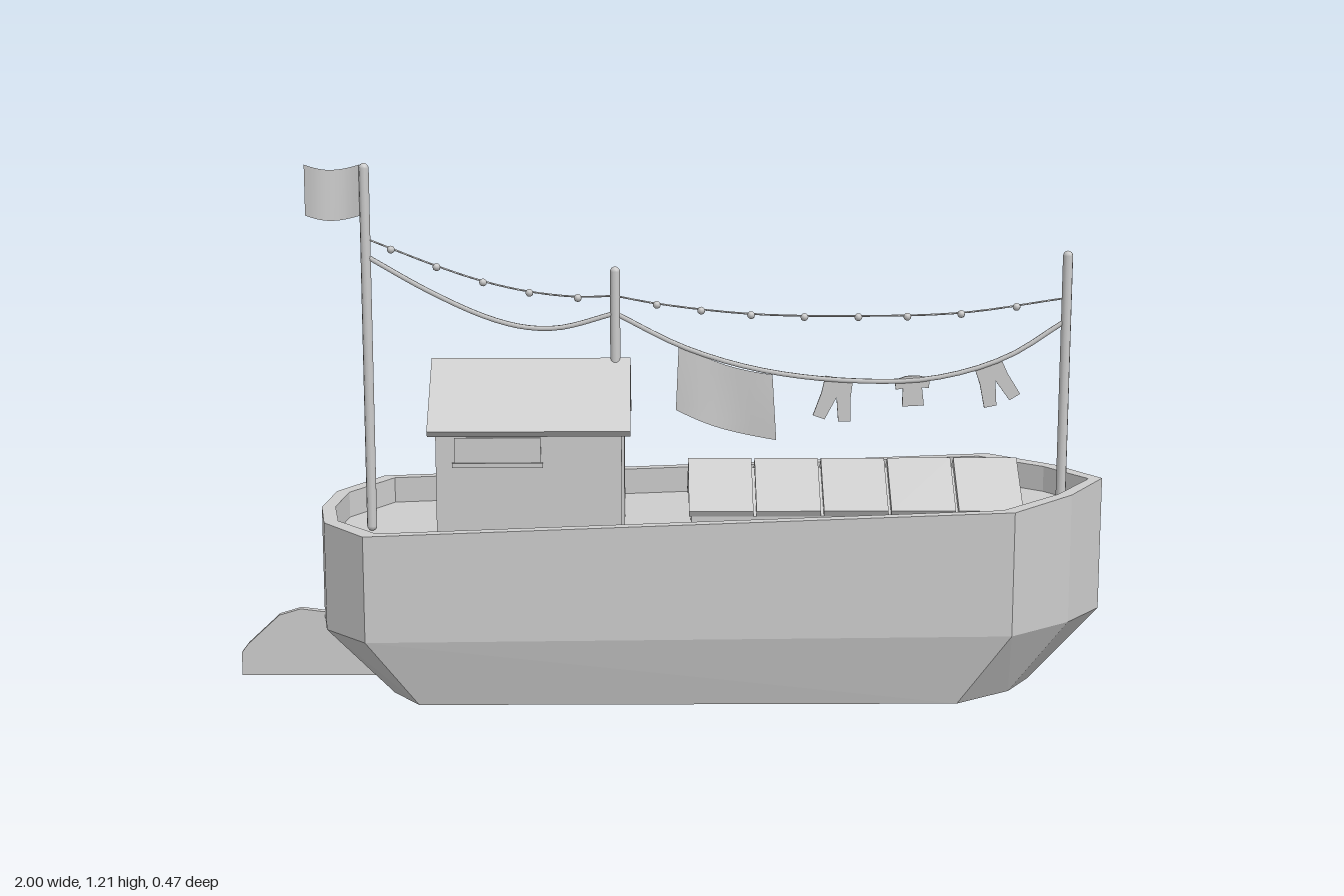
import * as THREE from 'three';

const flat = new THREE.MeshStandardMaterial({ color: 0xcccccc, flatShading: true, side: THREE.DoubleSide });
const smooth = new THREE.MeshStandardMaterial({ color: 0xcccccc, side: THREE.DoubleSide });

function add(parent, name, geometry, material = flat) {
  const mesh = new THREE.Mesh(geometry, material);
  mesh.name = name;
  parent.add(mesh);
  return mesh;
}

const shapeOf = (pts) => new THREE.Shape(pts.map(([x, y]) => new THREE.Vector2(x, y)));

// Prism with a (z, y) section, running along x
function prismX(section, x0, x1) {
  const g = new THREE.ExtrudeGeometry(shapeOf(section.map(([z, y]) => [-z, y])), { depth: x1 - x0, bevelEnabled: false });
  return g.rotateY(Math.PI / 2).translate(x0, 0, 0);
}

// Flat plate with an (x, y) outline, centred on z = 0
function plate(outline, thickness) {
  const g = new THREE.ExtrudeGeometry(shapeOf(outline), { depth: thickness, bevelEnabled: false });
  return g.translate(0, 0, -thickness / 2);
}

// Skin between successive closed rings of points
function loft(rings) {
  const pos = [];
  const tri = (...pts) => {
    if (new THREE.Triangle(...pts).getArea() > 1e-7) pts.forEach((p) => pos.push(p.x, p.y, p.z));
  };
  for (let r = 0; r < rings.length - 1; r++) {
    const a = rings[r], b = rings[r + 1], n = a.length;
    for (let i = 0; i < n; i++) {
      const j = (i + 1) % n;
      tri(a[i], b[i], b[j]);
      tri(a[i], b[j], a[j]);
    }
  }
  const g = new THREE.BufferGeometry();
  g.setAttribute('position', new THREE.Float32BufferAttribute(pos, 3));
  g.computeVertexNormals();
  return g;
}

// Full plan outline mirrored from the half outline, bow to stern
function ring(half, heightAt) {
  const back = half.slice(1, -1).reverse().map(([x, z]) => [x, -z]);
  return [...half, ...back].map(([x, z]) => new THREE.Vector3(x, heightAt(x, z), z));
}

function buildHull(group) {
  const wide = [[1, 0], [0.91, 0.12], [0.765, 0.235], [-0.685, 0.235], [-0.785, 0.12], [-0.805, 0]];
  const keel = [[0.84, 0], [0.78, 0.1], [0.65, 0.195], [-0.57, 0.195], [-0.635, 0.1], [-0.66, 0]];
  const inner = wide.map(([x, z]) => [(x - 0.1) * 0.965 + 0.1, z * 0.91]);
  const line = (pts) => pts.map(([x]) => [x, 0]);
  const rim = (x, z) => 0.445 + 0.036 * x - 0.08 * z;
  const deck = (x, z) => rim(x, z) - 0.06;
  add(group, 'hull', loft([
    ring(line(keel), () => 0),
    ring(keel, () => 0),
    ring(wide, (x) => 0.163 + 0.008 * x),
    ring(wide, rim),
    ring(inner, rim),
    ring(inner, deck),
  ]));
  add(group, 'deck', loft([ring(inner, deck), ring(line(inner), deck)]));
  add(group, 'rudder', plate([[-1, 0.015], [-0.66, 0.015], [-0.66, 0.1], [-0.78, 0.165], [-0.86, 0.175],
    [-0.91, 0.16], [-0.985, 0.09], [-1, 0.07]], 0.018));
}

function buildCabin(group) {
  const cabin = new THREE.Group();
  cabin.name = 'cabin';
  group.add(cabin);
  add(cabin, 'cabinWalls', prismX([[-0.115, 0.36], [0.115, 0.36], [0.115, 0.645], [0, 0.742], [-0.115, 0.645]], -0.53, -0.11));
  add(cabin, 'cabinRoof', prismX([[0.155, 0.612], [0.168, 0.626], [0, 0.765], [-0.168, 0.626], [-0.155, 0.612], [0, 0.742]], -0.545, -0.09));
  add(cabin, 'cabinDoor', prismX([[-0.06, 0.37], [0.06, 0.37], [0.06, 0.605], [0, 0.635], [-0.06, 0.605]], -0.112, -0.104));
  // Window strip with a sill on both long walls
  for (const s of [1, -1]) {
    add(cabin, 'cabinWindow', new THREE.BoxGeometry(0.195, 0.06, 0.006).translate(-0.39, 0.572, s * 0.116));
    add(cabin, 'windowSill', new THREE.BoxGeometry(0.205, 0.01, 0.016).translate(-0.39, 0.54, s * 0.119));
  }
}

function buildHatch(group) {
  const hatch = new THREE.Group();
  hatch.name = 'cargoHatch';
  group.add(hatch);
  add(hatch, 'hatchBase', prismX([[-0.12, 0.36], [0.12, 0.36], [0.12, 0.42], [0, 0.508], [-0.12, 0.42]], 0.048, 0.79));
  const lid = [[0.122, 0.42], [0.13, 0.434], [0, 0.53], [-0.13, 0.434], [-0.122, 0.42], [0, 0.506]];
  for (let i = 0; i < 5; i++) {
    const x = 0.042 + i * 0.153;
    add(hatch, 'hatchCover', prismX(lid, x, x + 0.146));
  }
}

function buildRigging(group) {
  // Masts as [x, top]
  for (const [x, top] of [[-0.69, 1.21], [-0.125, 0.975], [0.905, 1.01]]) {
    const r = 0.0115, bottom = 0.36;
    add(group, 'mast', new THREE.CapsuleGeometry(r, top - bottom - 2 * r, 4, 10).translate(x, (top + bottom) / 2, 0), smooth);
  }

  // Waving flag
  const flag = new THREE.PlaneGeometry(0.125, 0.115, 10, 1);
  const p = flag.attributes.position;
  for (let i = 0; i < p.count; i++) {
    const u = (p.getX(i) + 0.0625) / 0.125;
    p.setY(i, p.getY(i) - 0.012 * Math.sin(Math.PI * u) + 0.006);
    p.setZ(i, 0.006 * Math.sin(2 * Math.PI * u));
  }
  flag.computeVertexNormals();
  add(group, 'flag', flag.translate(-0.762, 1.143, 0), smooth);

  // Clothesline and string of lights, each hung in two spans
  const curve = (pts) => new THREE.CatmullRomCurve3(pts.map(([x, y]) => new THREE.Vector3(x, y, 0)));
  const ropeSpans = [
    [[-0.69, 1.0], [-0.55, 0.92], [-0.42, 0.86], [-0.33, 0.836], [-0.25, 0.835], [-0.125, 0.868]],
    [[-0.125, 0.868], [0.03, 0.79], [0.2, 0.738], [0.4, 0.712], [0.6, 0.716], [0.77, 0.765], [0.905, 0.85]],
  ];
  const lightSpans = [
    [[-0.69, 1.04], [-0.53, 0.977], [-0.425, 0.942], [-0.32, 0.918], [-0.21, 0.906], [-0.125, 0.908]],
    [[-0.125, 0.908], [-0.03, 0.89], [0.185, 0.866], [0.43, 0.861], [0.665, 0.868], [0.905, 0.902]],
  ];
  for (const s of ropeSpans) add(group, 'clothesline', new THREE.TubeGeometry(curve(s), 24, 0.006, 6), smooth);
  const bulbs = [
    [-0.635, -0.53, -0.425, -0.32, -0.21],
    [-0.03, 0.07, 0.185, 0.305, 0.43, 0.54, 0.665, 0.79],
  ];
  lightSpans.forEach((s, k) => {
    const c = curve(s);
    add(group, 'lightString', new THREE.TubeGeometry(c, 24, 0.0022, 5), smooth);
    const samples = c.getPoints(200);
    for (const x of bulbs[k]) {
      const at = samples.find((q) => q.x >= x);
      add(group, 'lightBulb', new THREE.SphereGeometry(0.009, 8, 6).translate(at.x, at.y - 0.003, 0), smooth);
    }
  });
}

function buildLaundry(group) {
  // Hanging blanket with a gentle ripple
  const cloth = new THREE.PlaneGeometry(1, 1, 8, 6);
  const p = cloth.attributes.position;
  for (let i = 0; i < p.count; i++) {
    const u = p.getX(i) + 0.5, v = 0.5 - p.getY(i);
    const top = 0.795 - 0.07 * u - 0.012 * Math.sin(Math.PI * u);
    p.setXYZ(i, 0.02 + 0.215 * u + 0.008 * v * (2 * u - 0.8), top - 0.152 * v, 0.006 * Math.sin(7 * u) * v);
  }
  cloth.computeVertexNormals();
  add(group, 'blanket', cloth, smooth);

  // Garments drawn hanging from their own origin, then tilted on the line
  const trousers = [[-0.032, 0], [0.032, 0], [0.034, -0.04], [0.044, -0.095], [0.016, -0.1], [0.002, -0.045],
    [-0.016, -0.1], [-0.044, -0.095], [-0.034, -0.04]];
  const shirt = [[-0.014, 0], [0.014, 0], [0.04, -0.008], [0.038, -0.03], [0.022, -0.028], [0.025, -0.07],
    [-0.025, -0.07], [-0.022, -0.028], [-0.038, -0.03], [-0.04, -0.008]];
  const items = [
    ['trousers', trousers, 0.388, 0.717, -0.17],
    ['shirt', shirt, 0.555, 0.722, 0.05],
    ['trousers', trousers, 0.728, 0.752, 0.38],
  ];
  for (const [name, outline, x, y, tilt] of items) {
    const m = add(group, name, plate(outline, 0.006));
    m.position.set(x, y, 0);
    m.rotation.z = tilt;
  }
}

export function createModel() {
  const boat = new THREE.Group();
  boat.name = 'riverBarge';
  buildHull(boat);
  buildCabin(boat);
  buildHatch(boat);
  buildRigging(boat);
  buildLaundry(boat);
  return boat;
}
